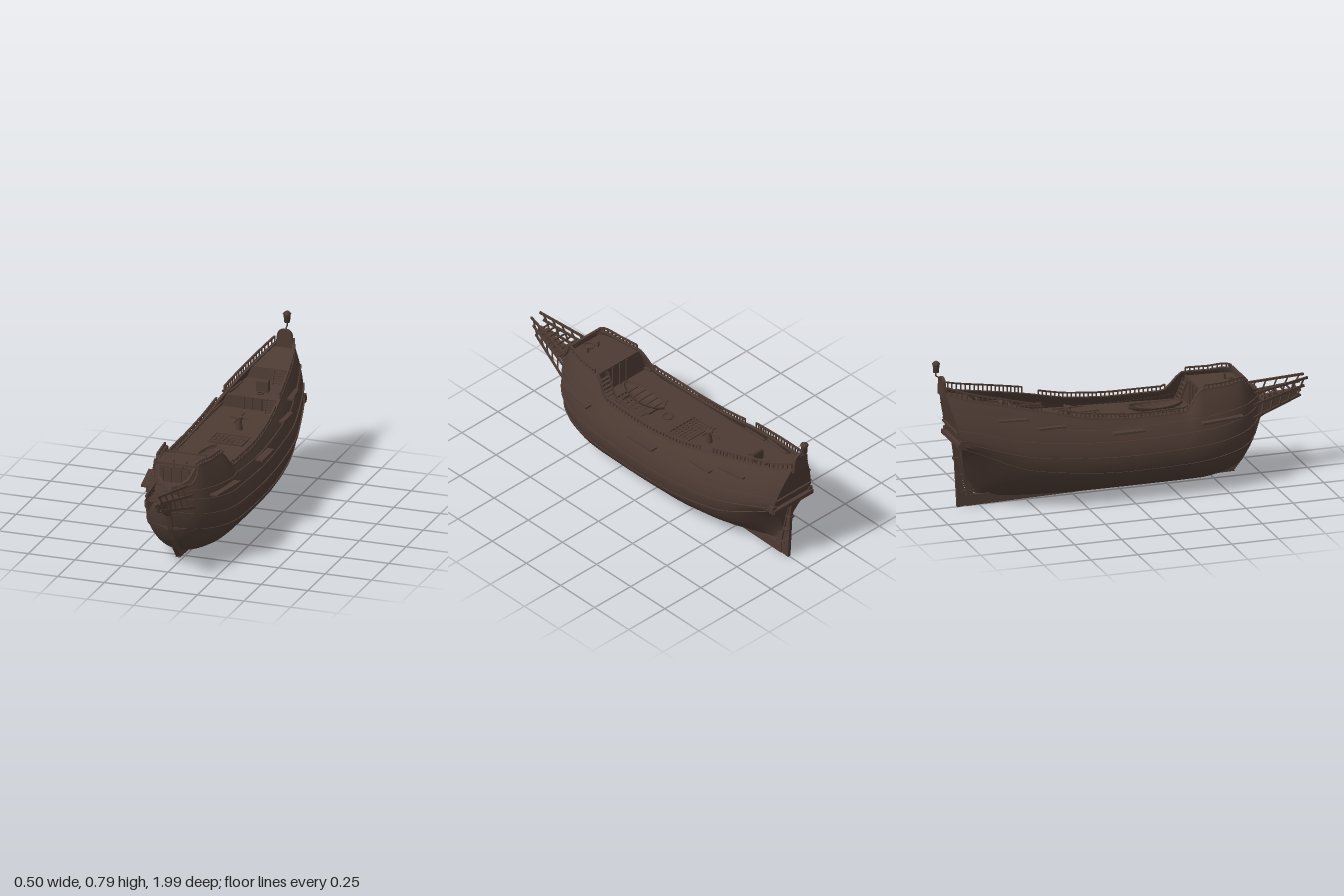
import * as THREE from 'three';

const wood = new THREE.MeshStandardMaterial({ color: 0x4d3b33, side: THREE.DoubleSide });
wood.name = 'dark brown wood';

// smooth keyed interpolation that never overshoots
function keyed(keys, z) {
  let i = 0;
  while (i < keys.length - 2 && z > keys[i + 1][0]) i++;
  const slope = (a, c) => (keys[a + 1][c] - keys[a][c]) / (keys[a + 1][0] - keys[a][0]);
  const tangent = (a, c) => {
    if (a === 0) return slope(0, c);
    if (a === keys.length - 1) return slope(a - 1, c);
    const p = slope(a - 1, c), q = slope(a, c);
    return p * q <= 0 ? 0 : (2 * p * q) / (p + q);
  };
  const h = keys[i + 1][0] - keys[i][0];
  const t = THREE.MathUtils.clamp((z - keys[i][0]) / h, 0, 1), t2 = t * t, t3 = t2 * t;
  return keys[i].map((a, c) => c === 0 ? z : a * (2 * t3 - 3 * t2 + 1) + keys[i + 1][c] * (3 * t2 - 2 * t3)
    + h * (tangent(i, c) * (t3 - 2 * t2 + t) + tangent(i + 1, c) * (t3 - t2)));
}

// hull stations: z, bottom y, fullness, widest half, its y, top half, top y
const Z0 = -0.89, Z1 = 0.735;
const stations = [
  [-0.89, 0.08, 0.7, 0.125, 0.36, 0.05, 0.625], [-0.8, 0.05, 0.95, 0.155, 0.35, 0.085, 0.59],
  [-0.65, 0.035, 1.4, 0.19, 0.32, 0.12, 0.55], [-0.45, 0.03, 1.9, 0.222, 0.29, 0.15, 0.505],
  [-0.2, 0.03, 2.2, 0.236, 0.26, 0.172, 0.45], [0.05, 0.03, 2.2, 0.24, 0.25, 0.18, 0.43],
  [0.28, 0.03, 2.2, 0.237, 0.25, 0.175, 0.43], [0.39, 0.03, 2.2, 0.229, 0.25, 0.147, 0.53],
  [0.5, 0.04, 2.1, 0.21, 0.26, 0.135, 0.53], [0.6, 0.07, 2, 0.172, 0.28, 0.115, 0.54],
  [0.635, 0.105, 1.95, 0.15, 0.295, 0.102, 0.53], [0.67, 0.15, 1.9, 0.12, 0.31, 0.085, 0.48],
  [0.71, 0.24, 1.8, 0.065, 0.35, 0.05, 0.46], [0.735, 0.33, 1.6, 0.012, 0.4, 0.01, 0.45],
];
const topY = z => keyed(stations, z)[6];
function half(z, y) {
  const [, yb, p, W, ym, wt, yt] = keyed(stations, z);
  if (y <= yb) return 0;
  if (y < ym) return W * Math.pow(1 - Math.pow(1 - (y - yb) / (ym - yb), p), 1 / p);
  return wt + (W - wt) * (1 - Math.pow(Math.min((y - ym) / (yt - ym), 1), 1.8));
}
const rakedZ = (z, y) => z - 0.25 * THREE.MathUtils.smoothstep(-z, 0.55, 0.89) * (y - 0.4);
const onHull = (z, y, s = 1) => new THREE.Vector3(s * half(z, y), y, rakedZ(z, y));

function grid(fn, nu, nv, flat) {
  const pos = [], idx = [];
  for (let i = 0; i <= nu; i++) for (let j = 0; j <= nv; j++) pos.push(...fn(i / nu, j / nv));
  for (let i = 0; i < nu; i++) for (let j = 0; j < nv; j++) {
    const a = i * (nv + 1) + j, b = a + nv + 1;
    idx.push(a, b, a + 1, b, b + 1, a + 1);
  }
  let g = new THREE.BufferGeometry();
  g.setAttribute('position', new THREE.Float32BufferAttribute(pos, 3));
  g.setIndex(idx);
  if (flat) g = g.toNonIndexed();
  g.computeVertexNormals();
  return g;
}

export function createModel() {
  const ship = new THREE.Group();
  ship.name = 'sailingShipHull';
  const add = (name, geo, x = 0, y = 0, z = 0) => {
    const m = new THREE.Mesh(geo, wood);
    m.name = name;
    m.position.set(x, y, z);
    ship.add(m);
    return m;
  };
  const box = (name, w, h, d, x, y, z) => add(name, new THREE.BoxGeometry(w, h, d), x, y, z);
  const cyl = (name, r1, r2, h, x, y, z, n = 12) => add(name, new THREE.CylinderGeometry(r1, r2, h, n), x, y, z);
  const V = (x, y, z) => new THREE.Vector3(x, y, z);
  const beam = (name, a, b, w, h = w) => {
    const m = box(name, w, h, a.distanceTo(b), 0, 0, 0);
    m.position.copy(a).lerp(b, 0.5);
    m.lookAt(b);
  };
  // side profile given as z, y pairs
  const slab = (name, pts, width) => {
    const g = new THREE.ExtrudeGeometry(new THREE.Shape(pts.map(p => new THREE.Vector2(...p))), { depth: width, bevelEnabled: false });
    add(name, g.translate(0, 0, -width / 2).rotateY(-Math.PI / 2));
  };

  // planked shell
  const section = (z, v) => {
    const [, yb, , , ym, , yt] = keyed(stations, z), a = Math.abs(v);
    const y = a < 0.6 ? yb + (ym - yb) * (1 - Math.cos(a / 0.6 * Math.PI / 2)) : ym + (yt - ym) * (a - 0.6) / 0.4;
    return onHull(z, y, Math.sign(v));
  };
  add('hullShell', grid((u, v) => section(Z0 + (Z1 - Z0) * u, v * 2 - 1), 90, 48));
  add('transom', grid((u, v) => section(Z0, v * (u * 2 - 1)), 1, 24, true));
  const crest = new THREE.Shape().moveTo(-0.05, 0.6).lineTo(0.05, 0.6).lineTo(0.04, 0.67)
    .quadraticCurveTo(0.037, 0.7, 0, 0.702).quadraticCurveTo(-0.037, 0.7, -0.04, 0.67);
  add('transomCrest', new THREE.ExtrudeGeometry(crest, { depth: 0.015, bevelEnabled: false }), 0, 0, -0.955);

  // wales, cap rails
  const strip = (name, yAt, z0, z1, h, inn, out) => {
    for (const s of [1, -1]) add(name, grid((u, v) => {
      const z = z0 + (z1 - z0) * u, y = yAt(z), k = Math.round(v * 4) % 4;
      const d = onHull(Math.min(z + 0.01, Z1), y).sub(onHull(Math.max(z - 0.01, Z0), y));
      const n = V(d.z, 0, -d.x).normalize().multiplyScalar(k === 1 || k === 2 ? out : -inn);
      const p = onHull(z, y + (k < 2 ? -h : h) / 2).add(n);
      return [s * Math.max(p.x, 0), p.y, p.z];
    }, 60, 4, true));
  };
  const wales = [
    [0.016, [[-0.88, 0.33], [-0.5, 0.205], [0, 0.16], [0.3, 0.165], [0.55, 0.19], [0.71, 0.22]]],
    [0.018, [[-0.88, 0.37], [-0.5, 0.28], [0, 0.245], [0.4, 0.255], [0.6, 0.28], [0.73, 0.31]]],
    [0.012, [[-0.88, 0.44], [-0.5, 0.36], [0, 0.325], [0.4, 0.335], [0.73, 0.385]]],
    [0.008, [[-0.88, 0.53], [-0.5, 0.43], [0, 0.385], [0.4, 0.4], [0.73, 0.43]]],
  ];
  for (const [h, k] of wales) strip('wale', z => keyed(k, z)[1], Z0, k[k.length - 1][0], h, 0.003, 0.006);
  strip('capRail', topY, Z0, 0.73, 0.009, 0.012, 0.005);

  // keel, stem, sternpost, rudder
  slab('keel', [[0.61, 0.03], [-0.82, 0.003], [-0.82, 0.06], [0.56, 0.06]], 0.025);
  slab('stem', [[0.6, 0.03], [0.65, 0.09], [0.69, 0.155], [0.72, 0.22], [0.745, 0.3], [0.8, 0.333], [0.94, 0.395], [0.94, 0.42],
    [0.78, 0.395], [0.72, 0.4], [0.68, 0.3], [0.62, 0.18], [0.53, 0.05]], 0.025);
  slab('sternpost', [[-0.77, 0.01], [-0.805, 0.01], [-0.885, 0.36], [-0.85, 0.36]], 0.022);
  slab('rudder', [[-0.812, 0.006], [-0.868, 0], [-0.882, 0.25], [-0.898, 0.37], [-0.889, 0.37]], 0.018);
  for (const y of [0.08, 0.17, 0.26]) box('rudderHinge', 0.03, 0.01, 0.07, 0, y, -0.795 - y * 0.23);
  box('sternBeam', 0.27, 0.022, 0.03, 0, 0.365, -0.89);
  box('sternLedge', 0.23, 0.01, 0.016, 0, 0.43, -0.9);
  for (const s of [1, -1]) box('sternBracket', 0.022, 0.045, 0.03, s * 0.125, 0.37, -0.88);

  // decks and bulkheads
  const deck = (name, z0, z1, y0, y1) => add(name, grid((u, v) => {
    const z = z0 + (z1 - z0) * u, p = onHull(z, y0 + (y1 - y0) * u);
    return [p.x * (v * 2 - 1) * 0.99, p.y, p.z];
  }, 16, 2));
  const bulkhead = (name, z, y0, y1) => add(name, grid((u, v) => {
    const y = y0 + (y1 - y0) * u;
    return [half(z, y) * (v * 2 - 1) * 0.99, y, rakedZ(z, y)];
  }, 4, 2));
  deck('mainDeck', -0.54, 0.4, 0.41, 0.37);
  deck('quarterDeck', -0.75, -0.54, 0.49, 0.475);
  deck('poopDeck', Z0, -0.75, 0.605, 0.55);
  deck('forecastleDeck', 0.4, 0.64, 0.505, 0.51);
  deck('beakDeck', 0.63, 0.732, 0.44, 0.44);
  bulkhead('waistBulkhead', 0.4, 0.37, 0.505);
  bulkhead('quarterBulkhead', -0.54, 0.41, 0.475);
  bulkhead('poopBulkhead', -0.75, 0.49, 0.55);
  bulkhead('beakBulkhead', 0.635, 0.43, 0.525);
  for (const x of [-0.07, -0.025, 0.025, 0.07]) {
    box('bulkheadPost', 0.008, 0.13, 0.008, x, 0.438, 0.396);
    box('bulkheadPost', 0.008, 0.08, 0.008, x, 0.48, 0.64);
    box('bulkheadPost', 0.008, 0.065, 0.008, x, 0.443, -0.536);
  }
  box('forecastleFrontRail', 0.23, 0.012, 0.014, 0, 0.54, 0.635);
  box('forecastleAftRail', 0.28, 0.008, 0.01, 0, 0.512, 0.398);

  // open balustrades
  const balustrade = (z0, z1, h, n) => {
    for (const s of [1, -1]) {
      let last = null;
      for (let i = 0; i <= n; i++) {
        const z = z0 + (z1 - z0) * i / n, a = onHull(z, topY(z), s), b = a.clone();
        b.y += h;
        beam('baluster', a, b, 0.006);
        if (last) beam('handrail', last, b, 0.01, 0.007);
        last = b;
      }
    }
  };
  balustrade(0.3, -0.38, 0.026, 30);
  balustrade(-0.47, -0.885, 0.036, 20);
  balustrade(0.63, 0.4, 0.022, 10);

  // channels along the sides
  for (const [z0, z1, y, x0, x1] of [[0.59, 0.36, 0.385, 0.205, 0.248], [0.05, -0.12, 0.385, 0.252, 0.25], [-0.36, -0.5, 0.44, 0.212, 0.21], [-0.55, -0.7, 0.49, 0.19, 0.165]]) {
    for (const s of [1, -1]) {
      const sh = new THREE.Shape([[half(z0, y) - 0.01, z0], [x0, z0], [x1, z1], [half(z1, y) - 0.01, z1]].map(p => new THREE.Vector2(s * p[0], p[1])));
      add('channel', new THREE.ExtrudeGeometry(sh, { depth: 0.01, bevelEnabled: false }).rotateX(Math.PI / 2), 0, y, 0);
    }
  }

  // beakhead rails, posts and grating
  const rails = [[V(0.085, 0.455, 0.69), V(0.03, 0.49, 0.99)], [V(0.1, 0.4, 0.68), V(0.035, 0.452, 0.97)], [V(0.115, 0.335, 0.67), V(0.035, 0.405, 0.95)]];
  for (const s of [1, -1]) {
    const side = rails.map(r => r.map(p => V(s * p.x, p.y, p.z)));
    for (const [a, b] of side) beam('beakRail', a, b, 0.009, 0.012);
    for (let i = 1; i <= 5; i++) {
      const [a, b, c] = side.map(r => r[0].clone().lerp(r[1], i / 5.4));
      beam('beakPost', a, b, 0.007);
      beam('beakPost', b, c, 0.007);
    }
    const cheek = new THREE.CatmullRomCurve3([V(s * 0.117, 0.55, 0.62), V(s * 0.115, 0.49, 0.65), V(s * 0.095, 0.457, 0.685), V(s * 0.045, 0.455, 0.72)]);
    add('cheekRail', new THREE.TubeGeometry(cheek, 12, 0.006, 6));
  }
  for (let i = 0; i < 7; i++) {
    const t = 0.2 + i * 0.11, p = rails[1][0].clone().lerp(rails[1][1], t);
    beam('beakSlat', p, V(-p.x, p.y, p.z), 0.007, 0.007);
  }
  beam('beakBeam', V(0, 0.4, 0.72), V(0, 0.425, 0.96), 0.022, 0.02);
  box('hawseBlock', 0.03, 0.018, 0.03, 0, 0.432, 0.735);

  // stern lantern
  add('lanternArm', new THREE.TubeGeometry(new THREE.CatmullRomCurve3([V(0, 0.68, -0.95), V(0, 0.702, -0.968), V(0, 0.71, -0.98), V(0, 0.735, -0.981)]), 12, 0.004, 6));
  add('lantern', new THREE.LatheGeometry([[0, 0], [0.015, 0], [0.018, 0.042], [0.022, 0.044], [0.017, 0.052], [0.006, 0.06], [0, 0.062]]
    .map(p => new THREE.Vector2(...p)), 10), 0, 0.728, -0.979);

  // hatches with gratings
  for (const [z, len, y] of [[0.22, 0.2, 0.379], [-0.14, 0.12, 0.393]]) {
    for (const s of [1, -1]) {
      box('hatchCoaming', 0.008, 0.016, len, s * 0.09, y, z);
      box('hatchCoaming', 0.18, 0.016, 0.008, 0, y, z + s * len / 2);
    }
    for (let i = -3; i <= 3; i++) box('hatchBar', 0.006, 0.01, len, i * 0.024, y, z);
    for (let i = 1; i < 6; i++) box('hatchBar', 0.18, 0.009, 0.006, 0, y, z - len / 2 + i * len / 6);
  }

  // ship's boat
  add('boat', grid((u, v) => {
    const z = u * 2 - 1, w = 0.055 * Math.pow(1 - z * z, 0.6), a = (v - 0.5) * Math.PI;
    return [w * Math.sin(a), 0.425 + 0.012 * z * z - 0.035 * Math.cos(a) * (1 - 0.5 * z * z), 0.19 + z * 0.145];
  }, 20, 12));
  for (let i = -2; i <= 2; i++) box('boatThwart', 0.1 - Math.abs(i) * 0.012, 0.005, 0.013, 0, 0.418, 0.19 + i * 0.045);
  for (const z of [0.1, 0.28]) box('boatCradle', 0.12, 0.012, 0.012, 0, 0.395, z);

  // capstan, mast collars, binnacle, ladders
  cyl('capstan', 0.012, 0.02, 0.06, 0, 0.43, -0.28, 10);
  cyl('capstanHead', 0.02, 0.02, 0.014, 0, 0.462, -0.28, 10);
  box('capstanBar', 0.1, 0.006, 0.006, 0, 0.462, -0.28);
  box('capstanBar', 0.006, 0.006, 0.16, 0, 0.462, -0.28);
  for (const [y, z, r] of [[0.392, 0.02, 0.026], [0.515, 0.6, 0.026], [0.485, -0.59, 0.016]]) {
    add('mastCollar', new THREE.TorusGeometry(r, 0.005, 6, 20).rotateX(Math.PI / 2), 0, y, z);
  }
  box('binnacle', 0.065, 0.05, 0.028, 0, 0.505, -0.63);
  cyl('binnacleTop', 0.014, 0.014, 0.065, 0, 0.53, -0.63).rotation.z = Math.PI / 2;
  for (const s of [1, -1]) box('bitt', 0.01, 0.035, 0.01, s * 0.035, 0.52, 0.57);
  for (const [x, y0, y1, z0, z1] of [[0.1, 0.38, 0.505, 0.335, 0.385], [0.085, 0.41, 0.478, -0.505, -0.535], [0.048, 0.485, 0.555, -0.715, -0.745]]) {
    for (const s of [1, -1]) beam('ladderSide', V(x + s * 0.03, y0, z0), V(x + s * 0.03, y1, z1), 0.005, 0.012);
    for (let i = 1; i < 6; i++) box('ladderStep', 0.06, 0.005, 0.014, x, y0 + (y1 - y0) * i / 6, z0 + (z1 - z0) * i / 6);
  }
  return ship;
}
